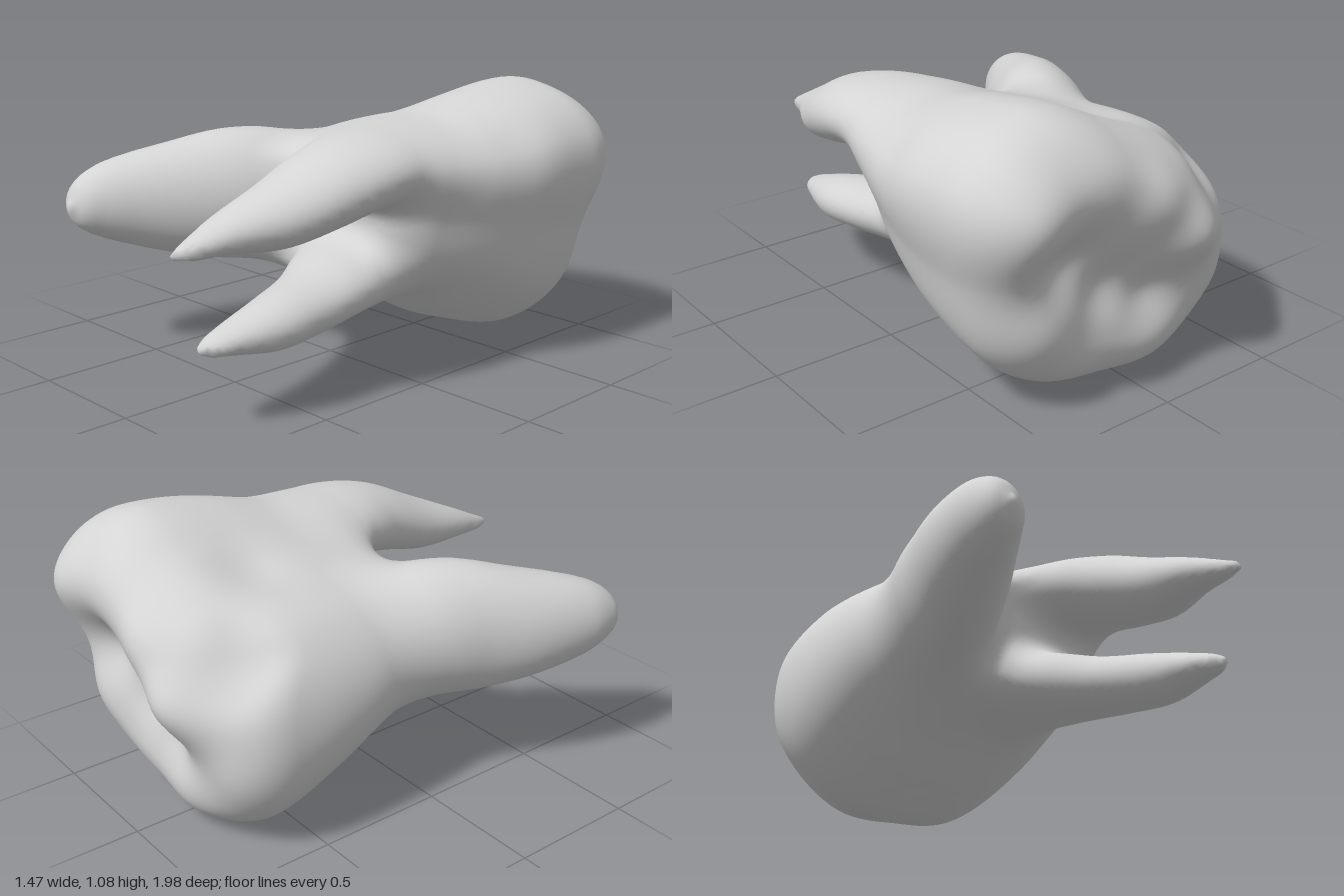
import * as THREE from 'three';

// Smooth 1D interpolation of table rows [z, a, b, ...] at height z
function sample(rows, z) {
  const n = rows.length;
  if (z <= rows[0][0]) return rows[0];
  if (z >= rows[n - 1][0]) return rows[n - 1];
  let i = 0;
  while (z > rows[i + 1][0]) i++;
  const p = rows[i], q = rows[i + 1], o = rows[Math.max(i - 1, 0)], r = rows[Math.min(i + 2, n - 1)];
  const h = q[0] - p[0], t = (z - p[0]) / h, t2 = t * t, t3 = t2 * t;
  return p.map((v, k) => {
    const m0 = (q[k] - o[k]) / (q[0] - o[0]) * h, m1 = (r[k] - p[k]) / (r[0] - p[0]) * h;
    return v * (2 * t3 - 3 * t2 + 1) + m0 * (t3 - 2 * t2 + t) + q[k] * (3 * t2 - 2 * t3) + m1 * (t3 - t2);
  });
}
const smin = (a, b, k) => {
  const h = Math.max(k - Math.abs(a - b), 0);
  return Math.min(a, b) - h * h / (4 * k);
};
const smax = (a, b, k) => -smin(-a, -b, k);

// Crown outline: radius every 30 degrees, and its centre and scale along z
const OUTLINE = [0.58, 0.71, 0.63, 0.47, 0.445, 0.55, 0.615, 0.64, 0.59, 0.515, 0.53, 0.56];
const BODY = [ // z, centre x, centre y, scale x, scale y
  [-1.0, 0.11, 0.54, 0.93, 0.93],
  [-0.8, 0.105, 0.535, 0.98, 0.98],
  [-0.62, 0.10, 0.53, 1, 1],
  [-0.4, 0.10, 0.565, 1, 0.88],
  [-0.2, 0.09, 0.60, 0.95, 0.73],
  [0.0, 0.07, 0.615, 0.84, 0.62],
  [0.15, 0.05, 0.61, 0.72, 0.55],
];
const OUTLINE_ROWS = [];
for (let i = -2; i <= 14; i++) OUTLINE_ROWS.push([i, OUTLINE[(i + 12) % 12]]);

// Chewing surface: cusps (positive) and grooves (negative) as x, y, height, spread
const CUSPS = [
  [0.56, 0.80, 0.13, 0.22], [0.22, 0.83, 0.09, 0.20], [-0.01, 0.76, 0.08, 0.14],
  [-0.18, 0.58, 0.14, 0.17], [0.08, 0.62, 0.03, 0.14],
  [0.45, 0.34, 0.04, 0.16], [-0.43, 0.32, 0.02, 0.14], [-0.10, 0.12, 0.02, 0.15],
  [0.35, 0.58, -0.06, 0.13], [0.16, 0.43, -0.05, 0.12], [-0.04, 0.36, -0.04, 0.11],
  [-0.38, 0.75, -0.12, 0.13],
];
// Shallow hollows in the sides of the crown: x, y, z, depth, spread
const HOLLOWS = [[-0.30, 0.82, -0.74, 0.05, 0.13], [-0.03, 0.92, -0.48, 0.03, 0.14], [0.62, 0.85, -0.3, 0.02, 0.15]];

// Roots: z, centre x, centre y, radius x, radius y
const ROOTS = {
  broadRoot: [
    [-0.35, -0.10, 0.60, 0.10, 0.10], [-0.2, -0.18, 0.61, 0.19, 0.18], [0.0, -0.28, 0.62, 0.235, 0.25],
    [0.2, -0.37, 0.62, 0.23, 0.265],
    [0.4, -0.48, 0.615, 0.205, 0.225], [0.6, -0.58, 0.62, 0.152, 0.168], [0.7, -0.615, 0.62, 0.11, 0.125],
    [0.76, -0.63, 0.615, 0.07, 0.075], [0.79, -0.635, 0.61, 0.012, 0.012],
  ],
  upperRoot: [
    [-0.35, 0.32, 0.76, 0.10, 0.06], [-0.2, 0.32, 0.79, 0.19, 0.11], [0.0, 0.335, 0.825, 0.25, 0.14],
    [0.2, 0.35, 0.83, 0.25, 0.14],
    [0.4, 0.365, 0.79, 0.205, 0.14], [0.6, 0.345, 0.725, 0.155, 0.115], [0.8, 0.31, 0.685, 0.09, 0.066],
    [0.93, 0.302, 0.655, 0.045, 0.035], [1.0, 0.30, 0.645, 0.012, 0.012],
  ],
  lowerRoot: [
    [-0.35, 0.14, 0.48, 0.10, 0.06], [-0.2, 0.16, 0.45, 0.19, 0.11], [0.0, 0.185, 0.41, 0.23, 0.135],
    [0.2, 0.22, 0.39, 0.22, 0.13],
    [0.4, 0.28, 0.355, 0.165, 0.108], [0.6, 0.315, 0.33, 0.125, 0.094], [0.8, 0.31, 0.312, 0.07, 0.048],
    [0.86, 0.305, 0.303, 0.045, 0.033], [0.9, 0.30, 0.30, 0.012, 0.012],
  ],
};

function crownField(x, y, z) {
  const [, cx, cy, sx, sy] = sample(BODY, z);
  const u = (x - cx) / sx, v = (y - cy) / sy;
  const turn = ((Math.atan2(v, u) / (Math.PI * 2) + 1) % 1) * 12;
  let f = (Math.hypot(u, v) / sample(OUTLINE_ROWS, turn)[1] - 1) * 0.5;
  for (const [hx, hy, hz, d, s] of HOLLOWS)
    f += d * Math.exp(-((x - hx) ** 2 + (y - hy) ** 2 + (z - hz) ** 2) / (s * s));
  let top = -0.84;
  for (const [px, py, a, s] of CUSPS) top -= a * Math.exp(-((x - px) ** 2 + (y - py) ** 2) / (s * s));
  f = smax(f, (top - z) * 0.85, 0.18);
  return smax(f, z - 0.12, 0.14);
}

function rootField(rows, x, y, z) {
  const [, cx, cy, rx, ry] = sample(rows, z);
  const f = (Math.hypot((x - cx) / rx, (y - cy) / ry) - 1) * Math.sqrt(rx * ry);
  return Math.max(f, rows[0][0] - z, z - rows[rows.length - 1][0]);
}

function field(x, y, z) {
  let roots = 1;
  for (const rows of Object.values(ROOTS)) roots = smin(roots, rootField(rows, x, y, z), 0.07);
  return smin(crownField(x, y, z), roots, 0.12);
}

function gradient(x, y, z) {
  const e = 0.006;
  return new THREE.Vector3(
    field(x + e, y, z) - field(x - e, y, z),
    field(x, y + e, z) - field(x, y - e, z),
    field(x, y, z + e) - field(x, y, z - e)).divideScalar(2 * e);
}

// Wrap a smooth skin around the blended crown and roots, sorted into named parts
function buildSkin() {
  const step = 0.024, min = [-0.82, -0.08, -1.08], size = [69, 53, 89];
  const stride = [1, size[0], size[0] * size[1]];
  const values = new Float32Array(size[0] * size[1] * size[2]);
  const each = (from, fn) => {
    for (let k = from; k < size[2] - 1; k++)
      for (let j = from; j < size[1] - 1; j++)
        for (let i = from; i < size[0] - 1; i++) fn([i, j, k], i + j * stride[1] + k * stride[2]);
  };
  values.fill(1);
  each(0, (c, id) => { values[id] = field(...c.map((n, a) => min[a] + n * step)); });

  // One vertex in every cell the surface crosses
  const vertexOf = new Map(), positions = [], normals = [];
  each(0, (c, id) => {
    const sum = [0, 0, 0];
    let hits = 0;
    for (let corner = 0; corner < 8; corner++) {
      const o = [corner & 1, (corner >> 1) & 1, corner >> 2];
      const a = values[id + o[0] + o[1] * stride[1] + o[2] * stride[2]];
      for (let d = 0; d < 3; d++) {
        if (o[d]) continue;
        const b = values[id + o[0] + o[1] * stride[1] + o[2] * stride[2] + stride[d]];
        if ((a < 0) === (b < 0)) continue;
        for (let m = 0; m < 3; m++) sum[m] += o[m] + (m === d ? a / (a - b) : 0);
        hits++;
      }
    }
    if (!hits) return;
    const p = new THREE.Vector3(...sum.map((s, m) => min[m] + (c[m] + s / hits) * step));
    const g = gradient(p.x, p.y, p.z);
    const shift = -field(p.x, p.y, p.z) / Math.max(g.lengthSq(), 0.2);
    p.add(g.clone().multiplyScalar(shift).clampLength(0, step * 0.5));
    vertexOf.set(id, positions.length / 3);
    positions.push(p.x, p.y, p.z);
    normals.push(...gradient(p.x, p.y, p.z).normalize().toArray());
  });

  // One quad across every grid edge that passes through the surface
  const faces = { crown: [], broadRoot: [], upperRoot: [], lowerRoot: [] };
  each(1, (c, id) => {
    for (let d = 0; d < 3; d++) {
      const inside = values[id] < 0;
      if (inside === (values[id + stride[d]] < 0)) continue;
      const u = stride[(d + 1) % 3], v = stride[(d + 2) % 3];
      const q = [id, id - u, id - u - v, id - v].map((n) => vertexOf.get(n));
      if (!inside) q.reverse();
      const [x, y, z] = c.map((n, a) => min[a] + n * step);
      const part = z < 0.17 ? 'crown' : x < -0.04 ? 'broadRoot' : y > 0.6 ? 'upperRoot' : 'lowerRoot';
      faces[part].push(q[0], q[1], q[2], q[0], q[2], q[3]);
    }
  });
  return { positions, normals, faces };
}

export function createModel() {
  const group = new THREE.Group();
  group.name = 'molar';
  const enamel = new THREE.MeshStandardMaterial({ color: 0xd4d4d4 });
  enamel.name = 'grey enamel';
  const { positions, normals, faces } = buildSkin();
  for (const [name, index] of Object.entries(faces)) {
    const geometry = new THREE.BufferGeometry();
    geometry.setAttribute('position', new THREE.Float32BufferAttribute(positions, 3));
    geometry.setAttribute('normal', new THREE.Float32BufferAttribute(normals, 3));
    geometry.setIndex(index);
    const mesh = new THREE.Mesh(geometry.toNonIndexed(), enamel);
    mesh.name = name;
    group.add(mesh);
  }
  return group;
}
